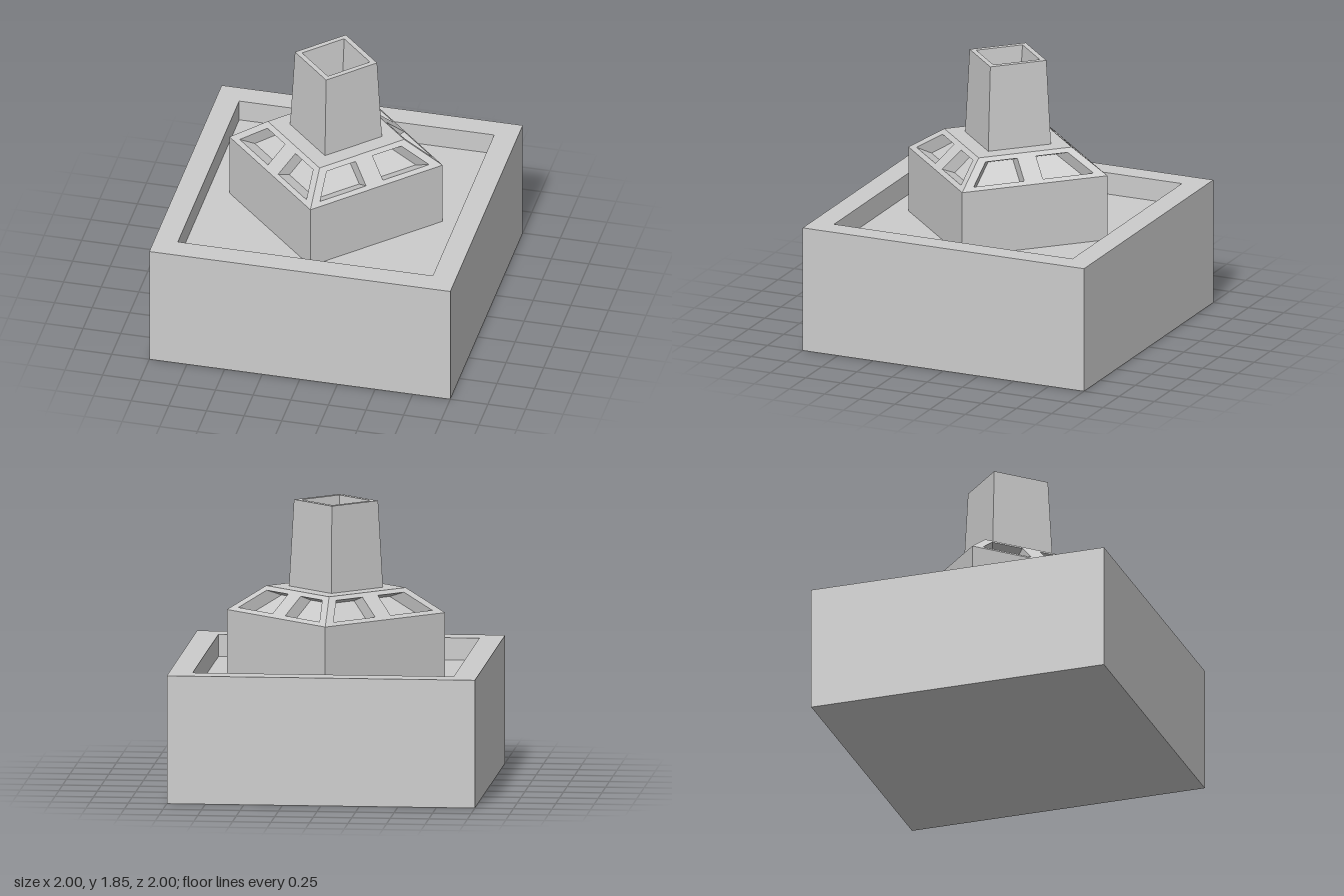
import * as THREE from 'three';

const material = new THREE.MeshStandardMaterial({ color: 0xcccccc, flatShading: true });
const openMaterial = new THREE.MeshStandardMaterial({ color: 0xcccccc, flatShading: true, side: THREE.DoubleSide });

function flatMesh(name, geometry, mat = material) {
  const g = geometry.index ? geometry.toNonIndexed() : geometry;
  g.computeVertexNormals();
  const mesh = new THREE.Mesh(g, mat);
  mesh.name = name;
  return mesh;
}

// Four-sided solid from a [corner radius, height] profile
function squareLathe(name, profile, phiStart = 0) {
  const points = profile.map(([r, y]) => new THREE.Vector2(r, y));
  return flatMesh(name, new THREE.LatheGeometry(points, 4, phiStart));
}

// Heights and corner radii
const FLOOR = 0.69, EAVE = 1.125, RIDGE = 1.285;
const R_EAVE = 0.708, R_RIDGE = 0.453, R_TOWER = 0.305;
const P_EAVE = R_EAVE * Math.SQRT1_2, P_RIDGE = R_RIDGE * Math.SQRT1_2;

// Roof height at distance p from the central axis
const roofY = p => RIDGE + (EAVE - RIDGE) * (p - P_RIDGE) / (P_EAVE - P_RIDGE);

// Window outline as [sideways, outward] pairs
const W_IN = 0.347, W_OUT = 0.477, GAP = 0.064, HIP = 0.064;
const INWARD = 0.085, DOWN = 0.033, HIP_INNER = 0.028;
const windowOutline = side => [
  [side * GAP, W_OUT], [side * (W_OUT - HIP), W_OUT],
  [side * (W_IN - HIP), W_IN], [side * GAP, W_IN],
];

// Sloping roof face with two window openings
function roofFace() {
  const toPlan = pts => pts.map(([s, p]) => new THREE.Vector2(s, -p));
  const shape = new THREE.Shape(toPlan([
    [-P_EAVE, P_EAVE], [P_EAVE, P_EAVE], [P_RIDGE, P_RIDGE], [-P_RIDGE, P_RIDGE],
  ]));
  for (const side of [-1, 1]) shape.holes.push(new THREE.Path(toPlan(windowOutline(side))));
  const g = new THREE.ShapeGeometry(shape);
  const pos = g.attributes.position;
  for (let i = 0; i < pos.count; i++) {
    const p = -pos.getY(i);
    pos.setXYZ(i, pos.getX(i), roofY(p), p);
  }
  return flatMesh('roofFace', g, openMaterial);
}

// Window pocket pushed inward and slightly down, with a floor parallel to the roof
function windowRecess(side) {
  const outline = windowOutline(side);
  const outer = outline.map(([s, p]) => [s, roofY(p), p]);
  const inner = outline.map(([s, p], i) => {
    const atHip = i === 1 || i === 2;
    const s2 = atHip ? side * (p - INWARD - HIP_INNER) : s;
    return [s2, roofY(p) - DOWN, p - INWARD];
  });
  const verts = [];
  const quad = (a, b, c, d) => {
    const order = side > 0 ? [a, b, c, a, c, d] : [a, c, b, a, d, c];
    for (const v of order) verts.push(...v);
  };
  for (let i = 0; i < 4; i++) {
    const j = (i + 1) % 4;
    quad(outer[i], outer[j], inner[j], inner[i]);
  }
  quad(...inner);
  const g = new THREE.BufferGeometry();
  g.setAttribute('position', new THREE.Float32BufferAttribute(verts, 3));
  return flatMesh('windowRecess', g, openMaterial);
}

export function createModel() {
  const model = new THREE.Group();
  model.name = 'model';

  // Square base with a sunken top
  const k = Math.SQRT2;
  model.add(squareLathe('base', [
    [0, 0], [k, 0], [k, 0.835], [0.847 * k, 0.835], [0.847 * k, FLOOR], [0, FLOOR],
  ], Math.PI / 4));

  // Turned block, its roof cap and the hollow tapered tower
  model.add(squareLathe('blockWalls', [[R_EAVE, FLOOR], [R_EAVE, EAVE]]));
  model.add(squareLathe('roofCap', [[R_RIDGE, RIDGE], [R_TOWER, RIDGE]]));
  model.add(squareLathe('tower', [
    [R_TOWER, RIDGE], [0.273, 1.85], [0.225, 1.85], [0.075, 0.85], [0, 0.85],
  ]));

  // Four roof sides, each with a pair of recessed windows
  for (let i = 0; i < 4; i++) {
    const sideGroup = new THREE.Group();
    sideGroup.name = 'roofSide';
    sideGroup.add(roofFace(), windowRecess(-1), windowRecess(1));
    sideGroup.rotation.y = Math.PI / 4 + i * Math.PI / 2;
    model.add(sideGroup);
  }
  return model;
}
